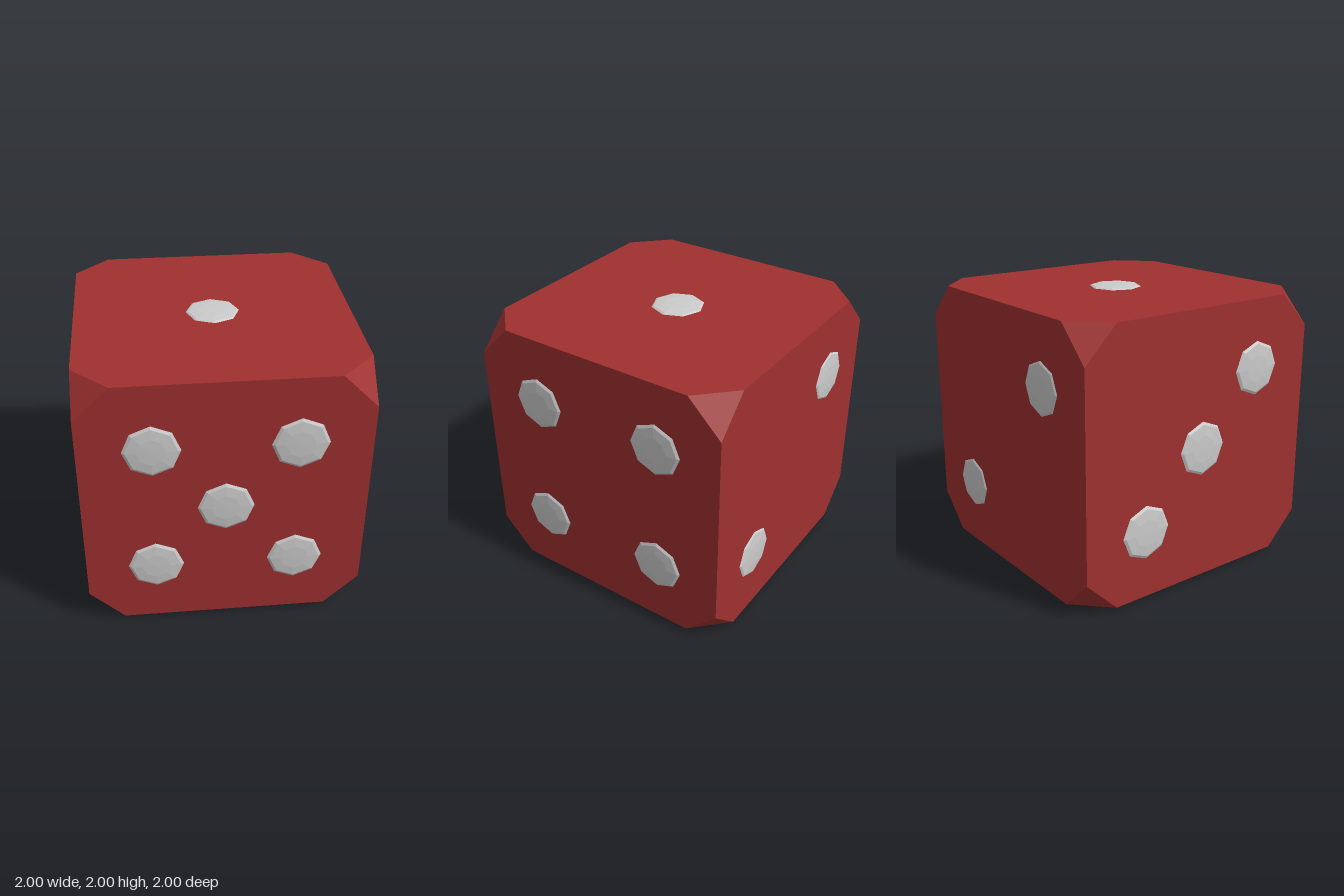
import * as THREE from 'three';
import { ConvexGeometry } from 'three/addons/geometries/ConvexGeometry.js';

const HALF = 0.98; // half the cube's side
const CUT = 0.735; // where the corner cuts meet the edges
const S = 0.49; // spacing of the pips

export function createModel() {
  const model = new THREE.Group();
  model.name = 'die';
  const red = new THREE.MeshStandardMaterial({ color: 0xa03030, flatShading: true });
  const grey = new THREE.MeshStandardMaterial({ color: 0xcccccc, flatShading: true });

  // Cube with all eight corners cut off
  const points = [];
  for (const a of [-1, 1]) for (const b of [-1, 1]) for (const c of [-1, 1]) {
    points.push(
      new THREE.Vector3(a * CUT, b * HALF, c * HALF),
      new THREE.Vector3(a * HALF, b * CUT, c * HALF),
      new THREE.Vector3(a * HALF, b * HALF, c * CUT)
    );
  }
  const body = new THREE.Mesh(new ConvexGeometry(points), red);
  body.name = 'body';
  body.position.set(0, 1.003, -0.003);
  model.add(body);

  // Shallow eight-sided dome, its base sunk into the face
  const profile = [[0.185, -0.02], [0.195, 0], [0.175, 0.011], [0.1, 0.018], [0, 0.02]]
    .map(([r, y]) => new THREE.Vector2(r, y));
  const pipGeometry = new THREE.LatheGeometry(profile, 8);

  // Pip centres on each face, as offsets from the cube's centre
  const faces = [
    { name: 'top', normal: [0, 1, 0], at: [[0, 0, 0]] },
    { name: 'back', normal: [0, 0, -1], at: [[-S, S, 0], [S, -S, 0]] },
    { name: 'right', normal: [-1, 0, 0], at: [[0, S, S], [0, 0, 0], [0, -S, -S]] },
    { name: 'left', normal: [1, 0, 0], at: [[0, S, S], [0, S, -S], [0, -S, S], [0, -S, -S]] },
    { name: 'front', normal: [0, 0, 1], at: [[-S, S, 0], [S, S, 0], [0, 0, 0], [-S, -S, 0], [S, -S, 0]] },
    { name: 'bottom', normal: [0, -1, 0], at: [-S, 0, S].flatMap((x) => [[x, 0, -0.39], [x, 0, 0.39]]) },
  ];
  const up = new THREE.Vector3(0, 1, 0);
  for (const { name, normal, at } of faces) {
    const group = new THREE.Group();
    group.name = name + 'Pips';
    const n = new THREE.Vector3(...normal);
    for (const offset of at) {
      const pip = new THREE.Mesh(pipGeometry, grey);
      pip.name = 'pip';
      pip.quaternion.setFromUnitVectors(up, n);
      pip.position.set(...offset).addScaledVector(n, HALF);
      group.add(pip);
    }
    group.position.y = 1;
    model.add(group);
  }
  return model;
}
